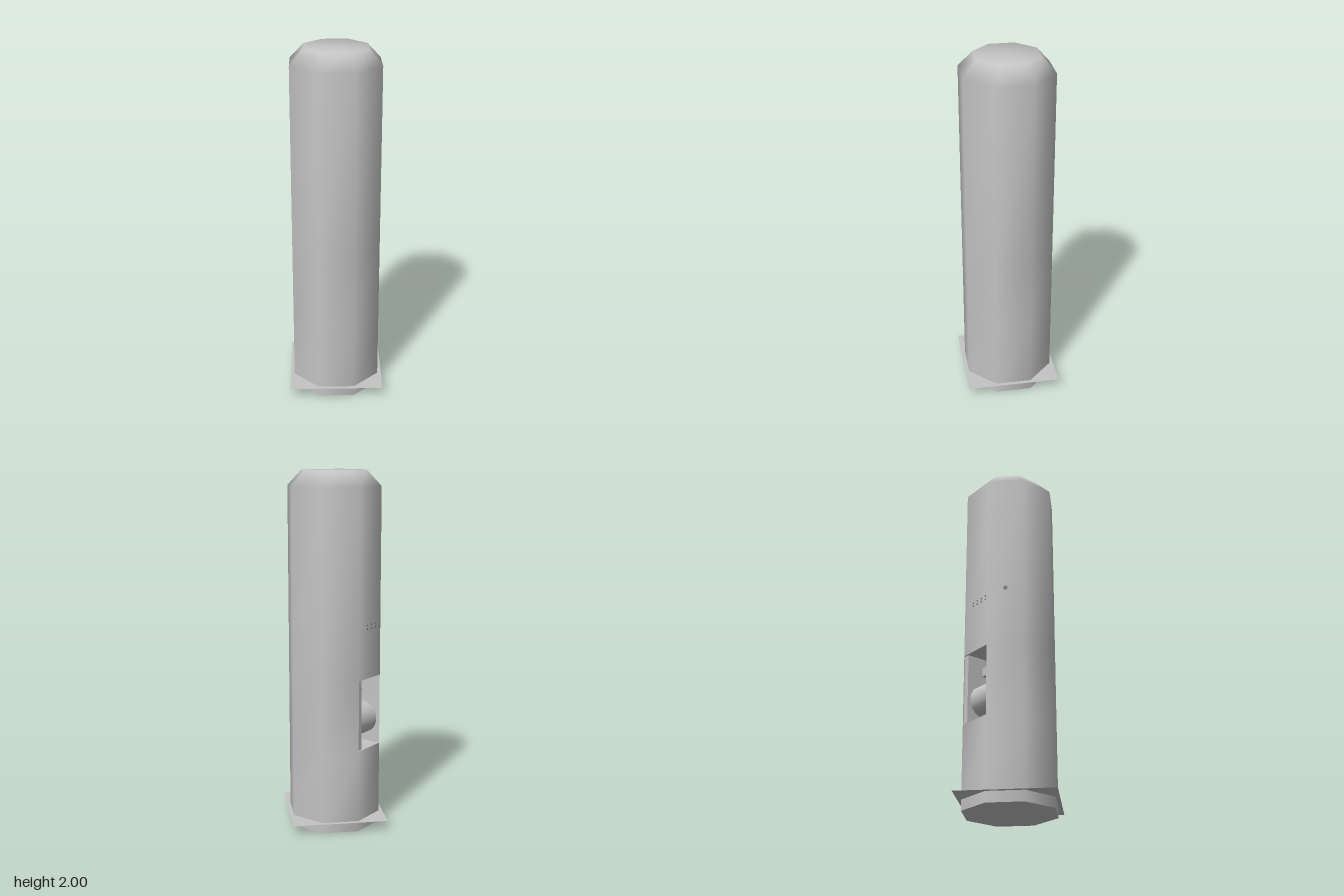
import * as THREE from 'three';

const APOTHEM = 0.245;
const NICHE = { bottom: 0.47, top: 0.87, depth: 0.2 };
const HALF = APOTHEM * Math.tan(Math.PI / 8); // half the width of one side

// Octagonal shell with smooth normals, open on one diagonal side for the niche
function shellGeometry() {
  const rings = [[0, APOTHEM], [NICHE.bottom, APOTHEM], [NICHE.top, APOTHEM], [1.915, APOTHEM], [2, 0.17]];
  const pos = [], idx = [];
  for (const [y, a] of rings) {
    const r = a / Math.cos(Math.PI / 8);
    for (let k = 0; k < 8; k++) {
      const t = (k + 0.5) * Math.PI / 4;
      pos.push(r * Math.cos(t), y, r * Math.sin(t));
    }
  }
  for (let j = 0; j < rings.length - 1; j++) {
    for (let k = 0; k < 8; k++) {
      if (j === 1 && k === 4) continue; // niche opening
      const a = j * 8 + k, b = j * 8 + (k + 1) % 8;
      idx.push(a, a + 8, b, b, a + 8, b + 8);
    }
  }
  const top = (rings.length - 1) * 8, centre = pos.length / 3;
  pos.push(0, 2, 0);
  for (let k = 0; k < 8; k++) idx.push(top + k, centre, top + (k + 1) % 8);
  const g = new THREE.BufferGeometry();
  g.setAttribute('position', new THREE.Float32BufferAttribute(pos, 3));
  g.setIndex(idx);
  g.computeVertexNormals();
  return g;
}

export function createModel() {
  const grey = new THREE.MeshStandardMaterial({ color: 0xc4c4c4, side: THREE.DoubleSide });
  grey.name = 'light grey';
  const dark = new THREE.MeshStandardMaterial({ color: 0x808080 });
  dark.name = 'dark grey';

  const model = new THREE.Group();
  model.name = 'column';
  const add = (parent, name, geometry, x = 0, y = 0, z = 0, material = grey) => {
    const m = new THREE.Mesh(geometry, material);
    m.name = name;
    m.position.set(x, y, z);
    parent.add(m);
    return m;
  };

  add(model, 'shell', shellGeometry());

  // Flat underside and square ground sheet
  const under = new THREE.CircleGeometry(APOTHEM / Math.cos(Math.PI / 8), 8, Math.PI / 8);
  add(model, 'underside', under.rotateX(Math.PI / 2));
  add(model, 'groundSheet', new THREE.PlaneGeometry(0.534, 0.534).rotateX(-Math.PI / 2), 0, 0.06, 0);

  // Niche on the back diagonal side; local +z points outwards
  const niche = new THREE.Group();
  niche.name = 'niche';
  niche.rotation.y = -Math.PI * 0.75;
  model.add(niche);
  const h = NICHE.top - NICHE.bottom, midY = (NICHE.top + NICHE.bottom) / 2;
  const midZ = APOTHEM - NICHE.depth / 2;
  add(niche, 'nicheBack', new THREE.PlaneGeometry(HALF * 2, h), 0, midY, APOTHEM - NICHE.depth);
  for (const s of [-1, 1]) {
    add(niche, 'nicheWall', new THREE.PlaneGeometry(NICHE.depth, h).rotateY(-s * Math.PI / 2), s * HALF, midY, midZ);
    add(niche, s < 0 ? 'nicheFloor' : 'nicheCeiling',
      new THREE.PlaneGeometry(HALF * 2, NICHE.depth).rotateX(s * Math.PI / 2), 0, midY + s * h / 2, midZ);
  }

  // Fittings inside the niche
  add(niche, 'jamb', new THREE.BoxGeometry(0.032, h - 0.004, 0.18), -HALF + 0.017, midY, 0.15);
  add(niche, 'roller', new THREE.CylinderGeometry(0.09, 0.09, 0.165, 32).rotateZ(Math.PI / 2), 0.017, 0.61, 0.135);
  add(niche, 'spout', new THREE.BoxGeometry(0.066, 0.05, 0.1), 0, 0.77, 0.12);

  // Row of paired buttons above the niche, and a lock on the side
  const dot = new THREE.CylinderGeometry(0.005, 0.005, 0.004, 12).rotateX(Math.PI / 2);
  for (let i = 0; i < 4; i++) {
    for (const y of [1.15, 1.17]) add(niche, 'button', dot, -0.025 + i * 0.037, y, APOTHEM, dark);
  }
  const lock = new THREE.CylinderGeometry(0.012, 0.012, 0.004, 16).rotateZ(Math.PI / 2);
  add(model, 'lock', lock, -APOTHEM, 1.21, 0, dark);

  return model;
}
